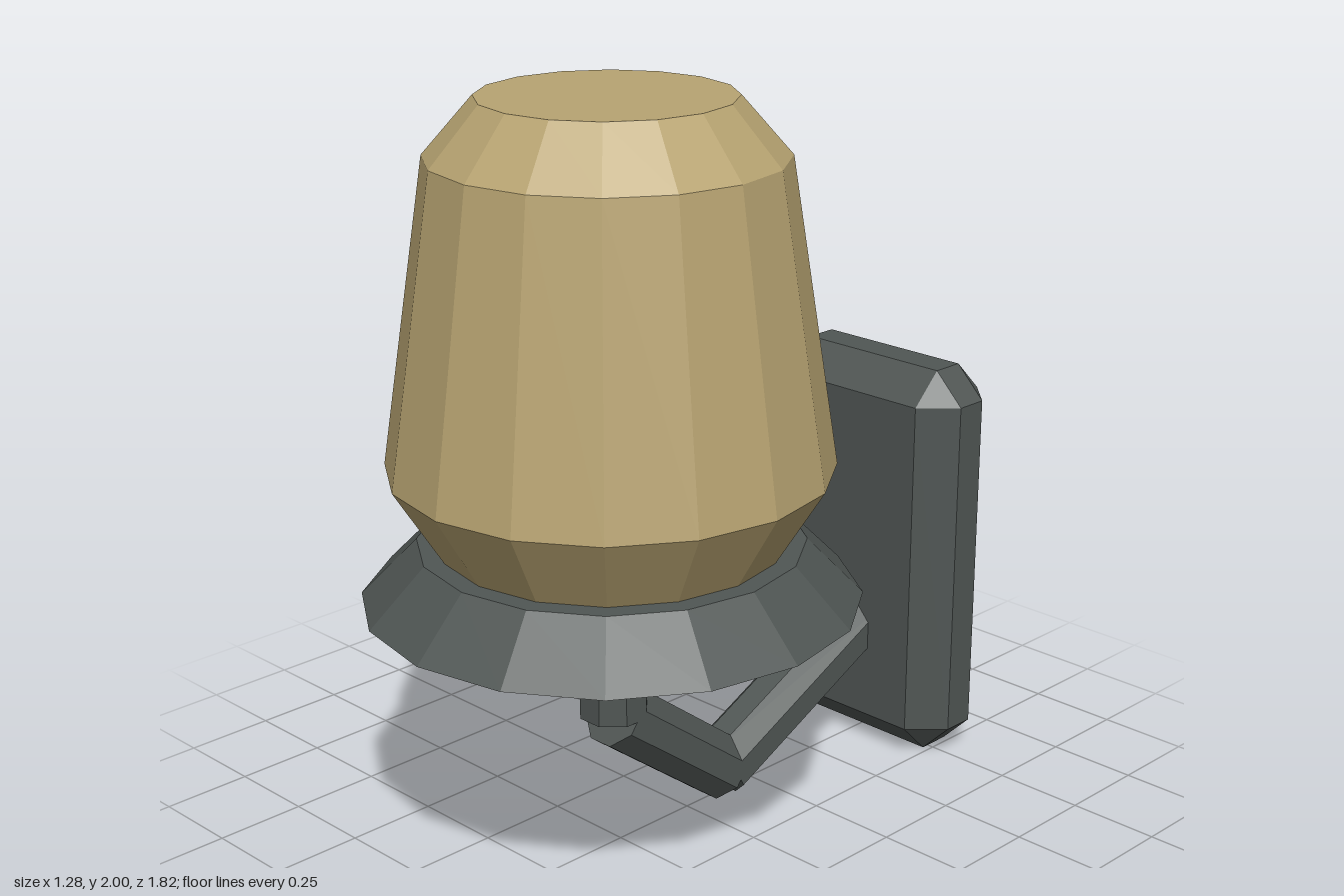
import * as THREE from 'three';
import { ConvexGeometry } from 'three/addons/geometries/ConvexGeometry.js';

export function createModel() {
  const model = new THREE.Group();
  const cream = new THREE.MeshStandardMaterial({ color: 0xb8a472, flatShading: true });
  cream.name = 'cream shade';
  const iron = new THREE.MeshStandardMaterial({ color: 0x505654, flatShading: true });
  iron.name = 'dark iron';

  const add = (name, geometry, material) => {
    const mesh = new THREE.Mesh(geometry, material);
    mesh.name = name;
    model.add(mesh);
    return mesh;
  };

  // 16-sided closed solid around the lamp axis, profile from bottom to top
  const LAMP_Z = 0.27;
  const turned = (name, profile, material) => {
    const points = profile.map(([r, y]) => new THREE.Vector2(r, y));
    add(name, new THREE.LatheGeometry(points, 16), material).position.z = LAMP_Z;
  };
  turned('shade', [[0, 0.865], [0.44, 0.865], [0.567, 1.07], [0.447, 1.855], [0.32, 2], [0, 2]], cream);
  turned('dish', [[0, 0.72], [0.64, 0.72], [0.495, 0.868], [0, 0.868]], iron);

  // Octagonal rods between two points in the x = 0 plane
  const up = new THREE.Vector3(0, 1, 0);
  const rod = (name, [y0, z0], [y1, z1]) => {
    const a = new THREE.Vector3(0, y0, z0), b = new THREE.Vector3(0, y1, z1);
    const dir = b.clone().sub(a);
    const geometry = new THREE.CylinderGeometry(0.093, 0.093, dir.length(), 8);
    geometry.rotateY(Math.PI / 8);
    const mesh = add(name, geometry, iron);
    mesh.position.copy(a).add(b).multiplyScalar(0.5);
    mesh.quaternion.setFromUnitVectors(up, dir.normalize());
  };
  rod('stem', [0.38, LAMP_Z], [0.74, LAMP_Z]);
  rod('frontArm', [0.38, 0.268], [0.08, -0.13]);
  rod('rearArm', [0.083, -0.118], [0.39, -0.75]);

  // Wall plate: a box with every edge chamfered
  const half = [0.318, 0.567, 0.133], cut = 0.087;
  const corners = [];
  for (const sx of [-1, 1]) for (const sy of [-1, 1]) for (const sz of [-1, 1]) {
    for (let full = 0; full < 3; full++) {
      const p = half.map((h, i) => (i === full ? h : h - cut));
      corners.push(new THREE.Vector3(p[0] * sx, p[1] * sy, p[2] * sz));
    }
  }
  add('wallPlate', new ConvexGeometry(corners), iron).position.set(0, 0.572, -0.775);

  return model;
}
